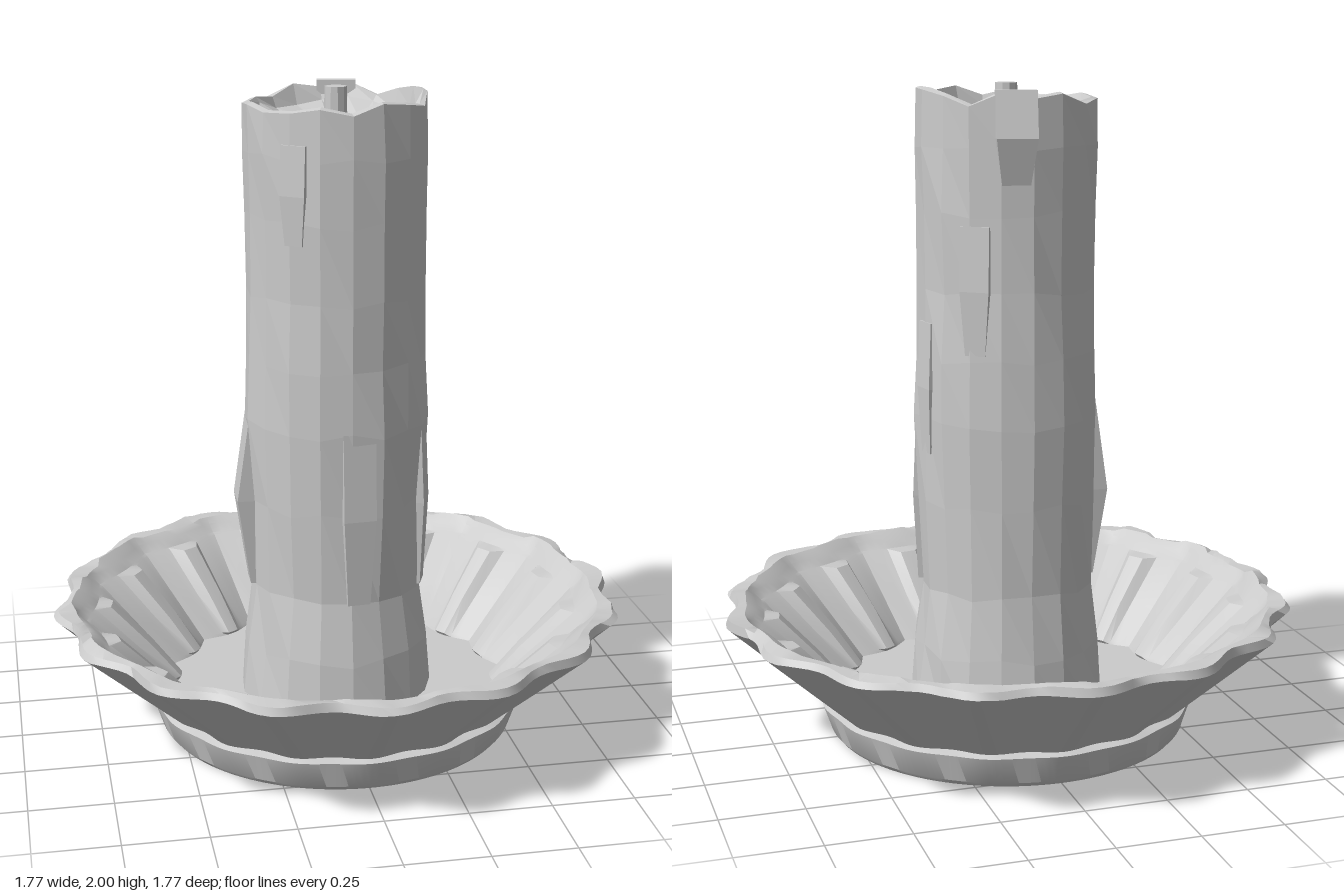
import * as THREE from 'three';
import { toCreasedNormals } from 'three/addons/utils/BufferGeometryUtils.js';

const FLUTES = 16;

// Repeatable noise in -1..1 from two integers
function noise(a, b) {
  const s = Math.sin(a * 127.1 + b * 311.7) * 43758.5453;
  return 2 * (s - Math.floor(s)) - 1;
}

// Lathe whose vertices are moved by rule(segment, row, angle, r, y) -> [r, y]
function shapedLathe(profile, segments, rule) {
  const geo = new THREE.LatheGeometry(profile.map(([r, y]) => new THREE.Vector2(r, y)), segments);
  const pos = geo.attributes.position;
  for (let k = 0; k < pos.count; k++) {
    const row = k % profile.length;
    const seg = Math.floor(k / profile.length) % segments;
    const angle = (seg / segments) * Math.PI * 2;
    const [r, y] = rule(seg, row, angle, ...profile[row]);
    pos.setXYZ(k, r * Math.sin(angle), y, r * Math.cos(angle));
  }
  geo.deleteAttribute('normal');
  geo.deleteAttribute('uv');
  return geo;
}

// Fluted saucer: foot, flared outer wall, rim, ribbed inner wall, floor
function dishGeometry() {
  // radius, height, flute depth, rib height, rim wobble
  const profile = [
    [0, 0, 0, 0, 0],
    [0.545, 0, 0, 0, 0],
    [0.558, 0.015, 0, 0, 0],
    [0.588, 0.1, 0.008, 0, 0],
    [0.572, 0.108, 0.02, 0, 0],
    [0.73, 0.25, 0.032, 0, 0],
    [0.885, 0.39, 0.045, 0, 0.004],
    [0.875, 0.412, 0.045, 0, 0.006],
    [0.825, 0.415, 0.015, 0, 0.008],
    [0.81, 0.395, 0.03, 0, 0],
    [0.785, 0.37, 0.03, 0, 0],
    [0.775, 0.365, 0.03, 0.035, 0],
    [0.65, 0.235, 0.035, 0.03, 0],
    [0.545, 0.125, 0.04, 0.012, 0],
    [0.535, 0.115, 0.035, 0, 0],
    [0, 0.115, 0, 0, 0],
  ];
  const per = 10;
  const geo = shapedLathe(profile, FLUTES * per, (seg, row, angle, r, y) => {
    const t = (seg % per) / per;
    const [, , depth, rib, wobble] = profile[row];
    const inner = row > 8;
    const wave = inner ? Math.sin(Math.PI * t) : (1 - Math.cos(2 * Math.PI * t)) / 2;
    const ribbed = t > 0.35 && t < 0.65 ? rib : 0;
    const chip = wobble * noise(Math.floor(seg / 4), row);
    return [r - depth * wave - ribbed + chip, y + chip];
  });
  return toCreasedNormals(geo, 0.45);
}

// Rough wax pillar with a jagged lip and a hollow top
function candleGeometry() {
  const profile = [
    [0.302, 0.11], [0.288, 0.28], [0.265, 0.47], [0.272, 0.75], [0.28, 1.0],
    [0.277, 1.2], [0.272, 1.4], [0.273, 1.63], [0.274, 1.82], [0.272, 1.96],
    [0.252, 1.965], [0.235, 1.93], [0.15, 1.89], [0.07, 1.87], [0, 1.865],
  ];
  const segments = 18;
  return shapedLathe(profile, segments, (seg, row, angle, r, y) => {
    if (row === 14) return [r, y];
    const lip = row === 9 || row === 10;
    const jag = lip ? 0.026 * noise(seg, 7) : row > 10 ? 0.018 * noise(seg, row) : 0;
    const dy = row > 0 && row < 9 ? 0.012 * noise(seg, row + 20) : jag;
    return [r + 0.006 * noise(seg, row + 40), y + dy];
  });
}

// Wax run on the side of the pillar, fullest at mid height
function dripGeometry(width, height, bulge) {
  const geo = new THREE.BoxGeometry(width, height, 0.06, 1, 2, 1);
  const pos = geo.attributes.position;
  for (let k = 0; k < pos.count; k++) {
    const end = Math.abs(pos.getY(k)) > 0.01;
    if (pos.getZ(k) > 0) pos.setZ(k, end ? 0.008 : bulge);
    if (end && pos.getY(k) < 0) pos.setX(k, pos.getX(k) * 0.7);
  }
  return geo;
}

export function createModel() {
  const group = new THREE.Group();
  const smooth = new THREE.MeshStandardMaterial({ color: 0xcccccc });
  const faceted = new THREE.MeshStandardMaterial({ color: 0xcccccc, flatShading: true });

  const add = (name, geometry, material) => {
    const mesh = new THREE.Mesh(geometry, material);
    mesh.name = name;
    group.add(mesh);
    return mesh;
  };

  add('dish', dishGeometry(), smooth);
  add('candle', candleGeometry(), faceted);

  // Wax drips: angle from the front, bottom, top, width, bulge
  const drips = [
    [-1.6, 0.47, 1.02, 0.11, 0.048],
    [0.08, 0.47, 1.01, 0.1, 0.02],
    [1.2, 0.47, 1.01, 0.1, 0.02],
    [-0.65, 1.57, 1.86, 0.08, 0.016],
    [1.75, 0.9, 1.3, 0.08, 0.016],
    [2.5, 1.22, 1.6, 0.09, 0.016],
    [2.95, 1.72, 1.99, 0.12, 0.04],
  ];
  for (const [angle, bottom, top, width, bulge] of drips) {
    const drip = add('waxDrip', dripGeometry(width, top - bottom, bulge), faceted);
    drip.position.set(0.265 * Math.sin(angle), (bottom + top) / 2, 0.265 * Math.cos(angle));
    drip.rotation.y = angle;
  }

  // Wick standing in the hollow
  const wick = add('wick', new THREE.CylinderGeometry(0.033, 0.036, 0.15, 10), faceted);
  wick.position.y = 1.925;

  return group;
}
